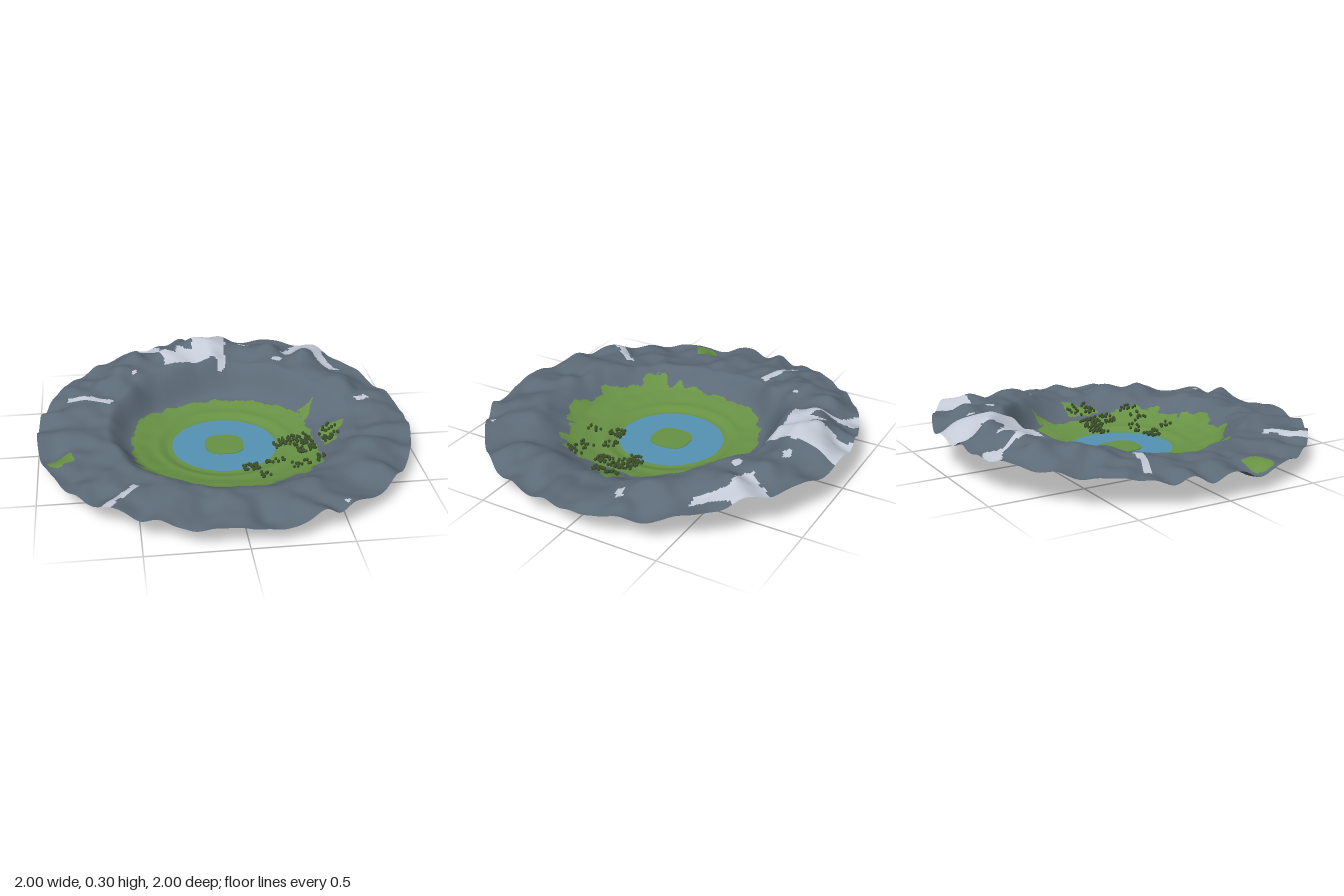
import * as THREE from 'three';

const mat = (name, color, side = THREE.FrontSide) => {
  const m = new THREE.MeshStandardMaterial({ color, side });
  m.name = name;
  return m;
};

// Seeded lattice hash and smooth value noise in -1..1
const hash = (i, j) => {
  const s = Math.sin(i * 127.1 + j * 311.7 + 4.3) * 43758.5453;
  return (s - Math.floor(s)) * 2 - 1;
};
const noise = (x, z) => {
  const i = Math.floor(x), j = Math.floor(z);
  const u = (x - i) ** 2 * (3 - 2 * (x - i)), v = (z - j) ** 2 * (3 - 2 * (z - j));
  const a = hash(i, j) * (1 - u) + hash(i + 1, j) * u;
  const b = hash(i, j + 1) * (1 - u) + hash(i + 1, j + 1) * u;
  return a * (1 - v) + b * v;
};
const smooth = THREE.MathUtils.smoothstep;

// Peaks and gullies: x, z, radius, height
const peaks = [[0, -0.8, 0.13, 0.075], [0.6, -0.74, 0.16, 0.065], [0.22, -0.74, 0.08, 0.035], [0.36, -0.76, 0.07, 0.03],
  [-0.25, -0.76, 0.11, 0.04], [-0.46, -0.72, 0.11, 0.03], [-0.77, -0.36, 0.1, 0.03], [0.72, -0.27, 0.1, 0.035],
  [0.88, -0.25, 0.07, 0.03], [0.75, -0.08, 0.1, -0.02], [-0.3, 0.66, 0.09, 0.02], [0.2, 0.68, 0.09, 0.02],
  [-0.7, 0.1, 0.1, 0.02], [0.68, 0.3, 0.1, 0.02]];

// Ground height: shallow bowl, then a rough mountain ring that is higher at the back
function height(x, z) {
  const r = Math.hypot(x, z), a = Math.atan2(z, x);
  const back = smooth(-z / r, -0.1, 1), gentle = smooth((z + 0.9 * x) / r, -0.1, 0.8);
  const bowl = 0.018 * smooth(r, 0.3, 0.37) + 0.024 * smooth(r, 0.38, 0.52);
  const wall = smooth(r, 0.49, 0.64 + 0.08 * gentle + 0.02 * noise(x * 6, z * 6));
  let rim = 0.09 + 0.085 * back + 0.015 * back * smooth(r, 0.6, 0.75)
    - smooth(r, 0.75, 1) * (0.025 + 0.025 * back);
  for (const [px, pz, w, h] of peaks) rim += h * Math.exp(-((x - px) ** 2 + (z - pz) ** 2) / (w * w));
  const rough = 0.018 * noise(x * 5.5 + 9, z * 5.5 + 3) + 0.014 * noise(x * 11, z * 11 + 7)
    + 0.013 * smooth(r, 0.6, 0.95) * Math.sin(21 * a + 3 * noise(x * 3, z * 3));
  return Math.max(0, bowl + wall * (rim + rough) + 0.003 * smooth(r, 0.34, 0.45) * noise(x * 14, z * 14));
}

// Ground cover outlines as x, z pairs
const meadow = [
  [[0, -0.48], [0.2, -0.45], [0.36, -0.34], [0.46, -0.24], [0.48, -0.05], [0.48, 0.2], [0.48, 0.36], [0.38, 0.47],
    [0.2, 0.5], [0.17, 0.58], [-0.03, 0.59], [-0.2, 0.55], [-0.28, 0.48], [-0.48, 0.38], [-0.46, 0.28],
    [-0.5, 0.15], [-0.5, -0.05], [-0.46, -0.23], [-0.37, -0.34], [-0.2, -0.44]],
  [[0.53, -0.02], [0.66, -0.02], [0.64, 0.04], [0.6, 0.06], [0.58, 0.14], [0.52, 0.16]],
  [[0.46, -0.27], [0.53, -0.26], [0.51, -0.2], [0.47, -0.15]],
  [[-0.95, 0.26], [-0.92, 0.21], [-0.83, 0.2], [-0.81, 0.27], [-0.88, 0.33], [-0.94, 0.31]],
];
const snowFields = [
  [[-0.12, -1.01], [0.12, -1.01], [0.08, -0.6], [0.04, -0.58], [0.03, -0.63], [-0.27, -0.6], [-0.32, -0.83],
    [-0.42, -0.9], [-0.36, -0.95], [-0.28, -0.93], [-0.3, -0.82], [-0.25, -0.73], [-0.2, -0.72], [-0.19, -0.83],
    [-0.15, -0.75], [-0.1, -0.73], [-0.1, -0.85]],
  [[0.55, -0.85], [0.42, -0.7], [0.45, -0.66], [0.6, -0.66], [0.65, -0.57], [0.68, -0.52], [0.75, -0.53],
    [0.7, -0.6], [0.67, -0.68], [0.68, -0.73]],
  [[-0.84, -0.37], [-0.59, -0.28], [-0.61, -0.24], [-0.84, -0.33]],
  [[-0.68, 0.74], [-0.51, 0.56], [-0.49, 0.59], [-0.64, 0.77]],
  [[0.35, -0.58], [0.38, -0.62], [0.42, -0.6], [0.39, -0.56]],
  [[0.17, -0.78], [0.22, -0.8], [0.24, -0.77], [0.2, -0.75]],
  [[-0.48, -0.52], [-0.44, -0.54], [-0.43, -0.52], [-0.46, -0.5]],
  [[0.75, -0.18], [0.82, -0.21], [0.85, -0.18], [0.77, -0.15]],
  [[0.47, 0.83], [0.49, 0.81], [0.51, 0.83], [0.49, 0.85]],
];
const inside = (poly, x, z) => {
  let hit = false;
  for (let i = 0, j = poly.length - 1; i < poly.length; j = i++) {
    const [xi, zi] = poly[i], [xj, zj] = poly[j];
    if ((zi > z) !== (zj > z) && x < (xj - xi) * (z - zi) / (zj - zi) + xi) hit = !hit;
  }
  return hit;
};
// 0 rock, 1 grass, 2 snow
function cover(x, z) {
  const r = Math.hypot(x, z);
  if (r < 0.42) return 1;
  if (snowFields.some(p => inside(p, x + 0.008 * noise(x * 25, z * 25), z))) return 2;
  const wobble = z > 0.2 && r < 0.7 ? 0.035 : 0.014;
  const px = x + wobble * noise(x * 22, z * 22), pz = z + wobble * noise(x * 22 + 40, z * 22);
  return meadow.some(p => inside(p, px, pz)) ? 1 : 0;
}

// Polar sheet whose cells are sorted by ground cover
function terrainGeometry() {
  const rings = 100, seg = 420, r0 = 0.275;
  const pos = [], buckets = [[], [], []];
  for (let i = 0; i <= rings; i++) {
    const r = r0 + (1 - r0) * i / rings;
    for (let j = 0; j < seg; j++) {
      const a = j / seg * Math.PI * 2, x = r * Math.cos(a), z = r * Math.sin(a);
      pos.push(x, height(x, z), z);
    }
  }
  for (let i = 0; i < rings; i++) {
    const r = r0 + (1 - r0) * (i + 0.5) / rings;
    for (let j = 0; j < seg; j++) {
      const k = (j + 1) % seg, t = (j + 0.5) / seg * Math.PI * 2;
      const a = i * seg + j, b = a + seg, c = i * seg + k, d = c + seg;
      buckets[cover(r * Math.cos(t), r * Math.sin(t))].push(a, c, b, b, c, d);
    }
  }
  const g = new THREE.BufferGeometry();
  g.setAttribute('position', new THREE.Float32BufferAttribute(pos, 3));
  g.setIndex(buckets.flat());
  let start = 0;
  buckets.forEach((b, m) => { g.addGroup(start, b.length, m); start += b.length; });
  g.computeVertexNormals();
  return g;
}

export function createModel() {
  const group = new THREE.Group();
  const rock = mat('rock', 0x5c6a77, THREE.DoubleSide);
  const grass = mat('grass', 0x689245, THREE.DoubleSide);
  const snow = mat('snow', 0xc3cad6, THREE.DoubleSide);
  const water = mat('water', 0x5493b3, THREE.DoubleSide);
  const foliage = mat('foliage', 0x3b4f2b);
  const add = (name, geo, material, parent = group) => {
    const m = new THREE.Mesh(geo, material);
    m.name = name;
    parent.add(m);
    return m;
  };

  add('terrain', terrainGeometry(), [rock, grass, snow]);

  // Lake filling the crater floor
  add('lake', new THREE.CircleGeometry(0.284, 96).rotateX(-Math.PI / 2), water).position.y = 0.003;

  // Low island with a rounded square outline
  const outline = [];
  for (let i = 0; i < 64; i++) {
    const a = i / 64 * Math.PI * 2, c = Math.cos(a), s = Math.sin(a);
    outline.push(new THREE.Vector2(0.104 * Math.sign(c) * Math.abs(c) ** 0.72, 0.107 * Math.sign(s) * Math.abs(s) ** 0.72));
  }
  const islandGeo = new THREE.ExtrudeGeometry(new THREE.Shape(outline), { depth: 0.003, bevelEnabled: false });
  add('island', islandGeo.rotateX(-Math.PI / 2), grass).position.y = 0.0035;

  // Groves: centre x, z, spread x, z, number of trees
  const trees = new THREE.Group();
  trees.name = 'trees';
  group.add(trees);
  const crown = new THREE.IcosahedronGeometry(0.009, 0).scale(1, 1.2, 1);
  const groves = [[0.31, 0.04, 0.05, 0.05, 30], [0.42, 0.05, 0.05, 0.06, 38], [0.56, 0.06, 0.045, 0.08, 30],
    [0.42, 0.17, 0.05, 0.04, 24], [0.11, 0.275, 0.04, 0.04, 30], [0.24, 0.24, 0.05, 0.03, 12],
    [0.165, 0.395, 0.025, 0.035, 8], [0.36, 0.33, 0.05, 0.04, 12], [0.46, 0.32, 0.03, 0.06, 10]];
  groves.forEach(([cx, cz, sx, sz, n], g) => {
    for (let i = 0; i < n; i++) {
      const x = cx + sx * hash(g * 50 + i, 1), z = cz + sz * hash(g * 50 + i, 2);
      const tree = add('tree', crown, foliage, trees);
      tree.position.set(x, height(x, z) + 0.013, z);
      tree.rotation.y = i;
    }
  });
  return group;
}
